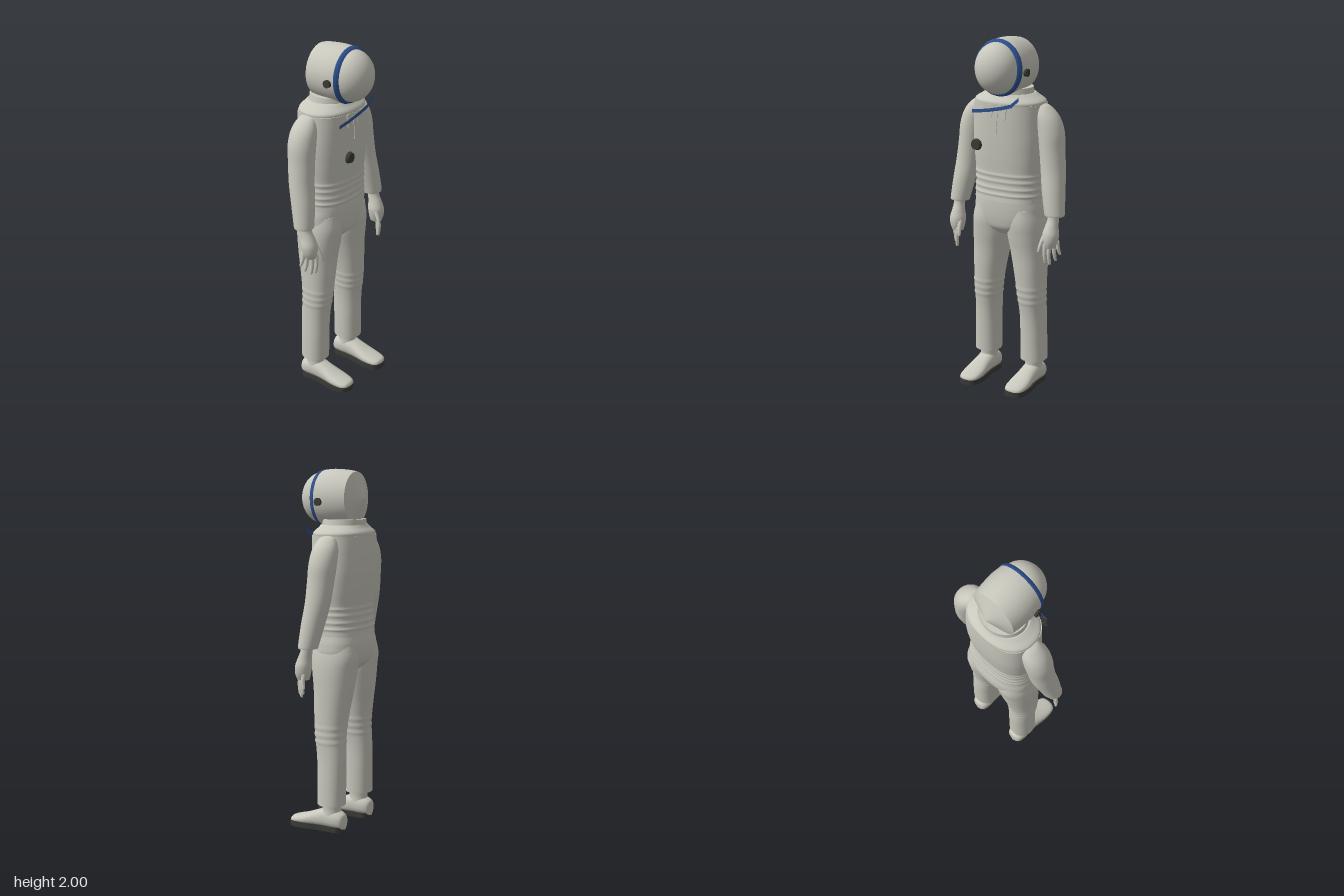
import * as THREE from 'three';

const flat = (name, color, side = THREE.FrontSide) => {
  const m = new THREE.MeshStandardMaterial({ color, side });
  m.name = name;
  return m;
};

// Smooth body through horizontal rings [x, y, z, halfWidth, halfDepth], listed from low to high
function loft(rings, { power = 2, sides = 40, steps = 32, folds = [], foldSize = 0.004 } = {}) {
  const centre = new THREE.CatmullRomCurve3(rings.map(r => new THREE.Vector3(r[0], r[1], r[2])), false, 'catmullrom', 0.5);
  const size = new THREE.CatmullRomCurve3(rings.map(r => new THREE.Vector3(r[3], r[4], 0)), false, 'catmullrom', 0.5);
  const pos = [], idx = [];
  const bend = v => Math.sign(v) * Math.abs(v) ** (2 / power);
  const ring = t => {
    const c = centre.getPoint(t), s = size.getPoint(t);
    const f = folds.reduce((sum, y) => sum + foldSize * Math.exp(-(((c.y - y) / 0.008) ** 2)), 0);
    for (let j = 0; j < sides; j++) {
      const a = j / sides * Math.PI * 2;
      pos.push(c.x + bend(Math.cos(a)) * (s.x + f), c.y, c.z + bend(Math.sin(a)) * (s.y + f));
    }
    return c;
  };
  for (let i = 0; i <= steps; i++) ring(i / steps);
  for (let i = 0; i < steps; i++) for (let j = 0; j < sides; j++) {
    const k = (j + 1) % sides, a = i * sides, b = a + sides;
    idx.push(a + j, b + j, a + k, a + k, b + j, b + k);
  }
  // End caps with their own corners, so the rims stay crisp
  for (const t of [0, 1]) {
    const start = pos.length / 3, c = ring(t), mid = start + sides;
    pos.push(c.x, c.y, c.z);
    for (let j = 0; j < sides; j++) {
      const k = (j + 1) % sides;
      if (t) idx.push(mid, start + k, start + j);
      else idx.push(mid, start + j, start + k);
    }
  }
  const g = new THREE.BufferGeometry();
  g.setAttribute('position', new THREE.Float32BufferAttribute(pos, 3));
  g.setIndex(idx);
  g.computeVertexNormals();
  return g;
}

export function createModel() {
  const model = new THREE.Group();
  model.name = 'suitedFigure';
  const suit = flat('paleGrey', 0xc9c8bd);
  const dark = flat('charcoal', 0x3a3a36);
  const blue = flat('blue', 0x2f5190, THREE.DoubleSide);

  const add = (name, geometry, material = suit, parent = model) => {
    const m = new THREE.Mesh(geometry, material);
    m.name = name;
    parent.add(m);
    return m;
  };

  // Jacket and trousers top
  add('jacket', loft([
    [0, 1.1, -0.047, 0.205, 0.142], [0, 1.15, -0.046, 0.202, 0.136], [0, 1.25, -0.045, 0.2, 0.133],
    [0, 1.35, -0.048, 0.208, 0.143], [0, 1.45, -0.05, 0.213, 0.15], [0, 1.56, -0.049, 0.21, 0.152],
    [0, 1.645, -0.047, 0.205, 0.15],
  ], { power: 2.5, steps: 110, sides: 56, folds: [1.14, 1.175, 1.215, 1.25] }));
  add('hips', loft([
    [0, 0.9, -0.05, 0.07, 0.08], [0, 0.94, -0.052, 0.15, 0.125], [0, 0.99, -0.054, 0.208, 0.14],
    [0, 1.05, -0.053, 0.212, 0.144], [0, 1.105, -0.048, 0.202, 0.139],
  ], { power: 2.4, sides: 56 }));

  // Collar: sloping yoke with an upright neck ring
  add('collarYoke', loft([
    [0, 1.635, -0.047, 0.204, 0.152], [0, 1.66, -0.047, 0.203, 0.151], [0, 1.685, -0.047, 0.165, 0.13],
    [0, 1.7, -0.047, 0.14, 0.12],
  ], { power: 2.2, sides: 56 }));
  add('neckRing', loft([[0, 1.67, -0.047, 0.14, 0.122], [0, 1.73, -0.047, 0.128, 0.117]], { steps: 2, sides: 56 }));

  // Helmet, turned about the z axis
  const helmet = new THREE.Group();
  helmet.name = 'helmet';
  helmet.position.y = 1.843;
  helmet.scale.y = 1.07;
  model.add(helmet);
  const turned = (name, points, material) => {
    const g = new THREE.LatheGeometry(points.map(p => new THREE.Vector2(...p)), 56);
    return add(name, g.rotateX(Math.PI / 2), material, helmet);
  };
  turned('helmetBackCone', [[0, -0.175], [0.135, -0.12]], suit);
  turned('helmetShell', [[0.135, -0.12], [0.142, -0.08], [0.146, -0.03], [0.147, 0.01], [0.145, 0.045], [0.14, 0.08]], suit);
  turned('visorBand', [[0.14, 0.07], [0.146, 0.071], [0.139, 0.092], [0.122, 0.094]], blue);
  const visor = add('visor', new THREE.SphereGeometry(1, 48, 32), suit, helmet);
  visor.scale.set(0.127, 0.132, 0.12);
  visor.position.z = 0.084;

  // Front closure flaps and zip
  for (const s of [-1, 1]) {
    const flap = new THREE.Shape([[0.012, 1.645], [0.068, 1.645], [0.055, 1.565], [0.03, 1.575]]
      .map(([x, y]) => new THREE.Vector2(s * x, y)));
    add('collarFlap', new THREE.ExtrudeGeometry(flap, { depth: 0.008, bevelEnabled: false })).position.z = 0.098;
  }
  const zip = new THREE.Shape([[-0.012, 1.64], [0, 1.49], [0.012, 1.64]].map(p => new THREE.Vector2(...p)));
  add('zip', new THREE.ExtrudeGeometry(zip, { depth: 0.006, bevelEnabled: false })).position.z = 0.1;

  // Thin blue strap across the upper chest
  const strap = new THREE.Shape([
    [-0.148, 1.59], [-0.05, 1.604], [0.04, 1.623], [0.105, 1.642], [0.148, 1.682],
    [0.148, 1.702], [0.098, 1.66], [0.035, 1.642], [-0.05, 1.623], [-0.148, 1.609],
  ].map(p => new THREE.Vector2(...p)));
  add('chestStrap', new THREE.ShapeGeometry(strap), blue).position.z = 0.115;

  // Chest button
  const button = add('chestButton', new THREE.CylinderGeometry(0.027, 0.033, 0.017, 28), dark);
  button.rotation.x = Math.PI / 2;
  button.position.set(-0.1, 1.425, 0.152);

  for (const s of [-1, 1]) {
    const side = new THREE.Group();
    side.name = s > 0 ? 'leftSide' : 'rightSide';
    model.add(side);
    const limb = (name, rings, options) =>
      add(name, loft(rings.map(([x, ...rest]) => [s * x, ...rest]), options), suit, side);

    // Ear knob
    const knob = add('earKnob', new THREE.CylinderGeometry(0.021, 0.021, 0.026, 24), dark, side);
    knob.rotation.z = Math.PI / 2;
    knob.position.set(s * 0.146, 1.825, 0.035);

    // Sleeve
    limb('sleeve', [
      [0.311, 1.05, 0.0, 0.056, 0.053], [0.309, 1.07, -0.002, 0.058, 0.056], [0.292, 1.18, -0.02, 0.065, 0.065],
      [0.277, 1.29, -0.04, 0.069, 0.07], [0.264, 1.4, -0.05, 0.07, 0.074], [0.25, 1.5, -0.056, 0.075, 0.077],
      [0.226, 1.58, -0.058, 0.068, 0.07], [0.2, 1.635, -0.058, 0.04, 0.045], [0.185, 1.65, -0.058, 0.01, 0.015],
    ], { steps: 48 });

    // Hand with four fingers and a thumb
    limb('palm', [
      [0.305, 0.875, 0.035, 0.03, 0.035], [0.307, 0.91, 0.035, 0.042, 0.044], [0.307, 0.95, 0.032, 0.046, 0.046],
      [0.308, 0.99, 0.024, 0.037, 0.04], [0.31, 1.03, 0.012, 0.031, 0.034], [0.31, 1.07, 0.005, 0.031, 0.034],
    ], { sides: 24 });
    const fingers = [
      [0.292, 0.785, 0.062, 0.288, 0.9, 0.062], [0.308, 0.775, 0.043, 0.304, 0.9, 0.045],
      [0.333, 0.797, 0.02, 0.322, 0.9, 0.026], [0.352, 0.83, 0.004, 0.335, 0.91, 0.012],
      [0.262, 0.855, 0.088, 0.278, 0.945, 0.05],
    ];
    for (const [x, y, z, rootX, rootY, rootZ] of fingers) {
      const at = (t, r) => [x + (rootX - x) * t, y + (rootY - y) * t, z + (rootZ - z) * t + 0.006 * Math.sin(Math.PI * t), r, r];
      limb('finger', [at(0, 0.003), at(0.06, 0.008), at(0.5, 0.011), at(1, 0.013)], { sides: 12, steps: 12 });
    }

    // Trouser leg
    limb('trouserLeg', [
      [0.155, 0.15, -0.055, 0.075, 0.078], [0.153, 0.28, -0.055, 0.074, 0.08], [0.15, 0.42, -0.053, 0.073, 0.083],
      [0.144, 0.55, -0.043, 0.08, 0.088], [0.135, 0.68, -0.046, 0.09, 0.1], [0.124, 0.8, -0.052, 0.102, 0.113],
      [0.115, 0.9, -0.052, 0.111, 0.126], [0.111, 0.98, -0.053, 0.108, 0.135], [0.106, 1.06, -0.05, 0.095, 0.125],
    ], { power: 2.2, steps: 110, folds: [0.51, 0.55, 0.59], foldSize: 0.003 });

    // Ankle and shoe
    limb('ankle', [[0.154, 0.07, -0.055, 0.055, 0.058], [0.154, 0.12, -0.055, 0.049, 0.053], [0.154, 0.17, -0.055, 0.052, 0.056]]);
    const shoe = [[-0.14, 0.012, 0.085], [-0.13, 0.042, 0.1], [-0.09, 0.055, 0.118], [-0.03, 0.054, 0.125],
      [0.03, 0.055, 0.105], [0.1, 0.062, 0.078], [0.16, 0.058, 0.06], [0.19, 0.042, 0.05], [0.2, 0.015, 0.038]];
    const upper = loft(shoe.map(([z, w, top]) => [s * 0.154, z, -(top + 0.012) / 2, w, (top - 0.012) / 2]), { power: 2.3, steps: 40 });
    add('shoe', upper.rotateX(Math.PI / 2), suit, side);

    // Sole, waisted at the arch
    const half = [[0.025, -0.13], [0.05, -0.11], [0.052, -0.05], [0.053, 0.01], [0.064, 0.08], [0.064, 0.14], [0.05, 0.185], [0.02, 0.202]];
    const outline = [...half, ...half.map(([x, z]) => [-x, z]).reverse()].map(([x, z]) => new THREE.Vector3(x, z, 0));
    const curve = new THREE.CatmullRomCurve3(outline, true);
    const shape = new THREE.Shape(curve.getPoints(56).slice(0, -1).map(p => new THREE.Vector2(p.x, p.y)));
    const sole = add('sole', new THREE.ExtrudeGeometry(shape, { depth: 0.03, bevelEnabled: false }).rotateX(Math.PI / 2), dark, side);
    sole.position.set(s * 0.154, 0.03, 0);
  }
  return model;
}
